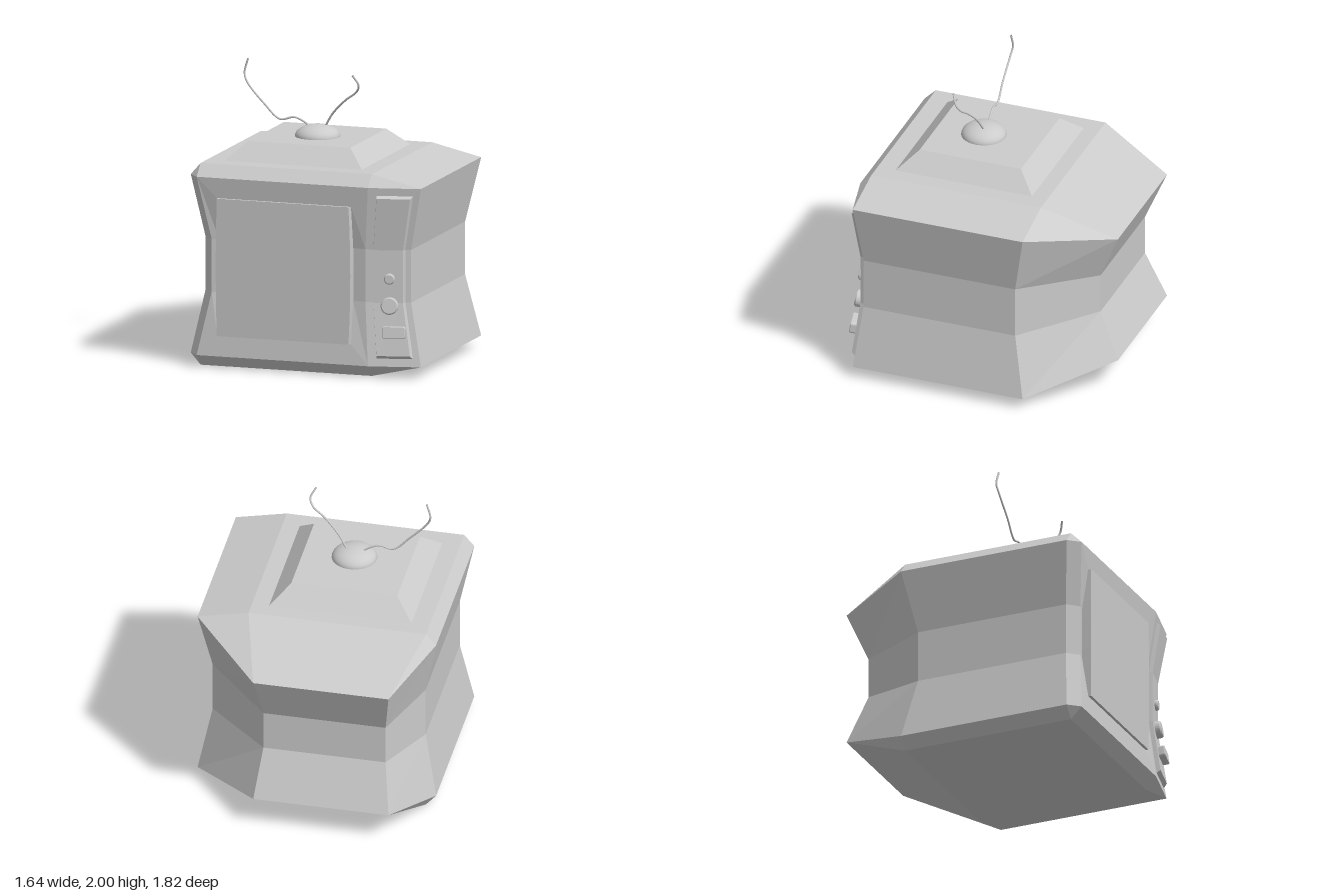
import * as THREE from 'three';

const material = new THREE.MeshStandardMaterial({ color: 0xcccccc });
const flat = new THREE.MeshStandardMaterial({ color: 0xcccccc, flatShading: true });
const v = (x, y, z) => new THREE.Vector3(x, y, z);

// Collects quads (corners counter-clockwise from outside) into a faceted geometry
function facets(quads) {
  const pos = [];
  const tri = (a, b, c) => {
    if (a.distanceTo(b) > 1e-6 && b.distanceTo(c) > 1e-6 && c.distanceTo(a) > 1e-6) {
      for (const p of [a, b, c]) pos.push(p.x, p.y, p.z);
    }
  };
  for (const [a, b, c, d] of quads) { tri(a, b, c); tri(a, c, d); }
  const g = new THREE.BufferGeometry();
  g.setAttribute('position', new THREE.Float32BufferAttribute(pos, 3));
  g.computeVertexNormals();
  return g;
}

// Cabinet plan outlines, from front right corner round to the other side
const WIDE = [[-0.75, 0.9], [0.47, 0.9], [0.82, 0.82], [0.82, -0.4], [0.33, -0.9], [-0.6, -0.9], [-0.82, -0.4], [-0.82, 0.82]];
const WAIST = [[-0.66, 0.85], [0.435, 0.85], [0.735, 0.775], [0.735, -0.315], [0.29, -0.76], [-0.55, -0.76], [-0.73, -0.315], [-0.73, 0.775]];
const CAP = [[-0.75, 0.82], [0.47, 0.82], [0.47, -0.4], [-0.75, -0.4]];
const CAP_OF = [0, 1, 1, 2, 2, 3, 3, 0];

// One ring; the two back corners have their own height
const ring = (plan, y, backY) => plan.map(([x, z], i) => v(x, i === 4 || i === 5 ? backY : y, z));
const capRing = (y) => CAP_OF.map((k) => v(CAP[k][0], y, CAP[k][1]));
const ROWS = [
  capRing(0), ring(WIDE, 0.08, 0.22), ring(WAIST, 0.51, 0.55),
  ring(WAIST, 0.87, 0.83), ring(WIDE, 1.3, 1.16), capRing(1.38),
];

function cabinetGeometry() {
  const quads = [];
  for (let r = 0; r < 5; r++) {
    for (let i = 0; i < 8; i++) {
      if (i === 0 && r > 0 && r < 4) continue; // front opening
      const j = (i + 1) % 8;
      quads.push([ROWS[r][i], ROWS[r][j], ROWS[r + 1][j], ROWS[r + 1][i]]);
    }
  }
  const corners = CAP.map(([x, z]) => v(x, 0, z));
  quads.push([...corners].reverse(), corners.map((p) => v(p.x, 1.38, p.z)));
  // bezel between the front rim and the screen
  const rim = [], inner = [];
  const heights = [0, 0.22, 0.51, 0.87, 1.16];
  const add = (r, side) => {
    rim.push(ROWS[r][side]);
    inner.push(v(side ? 0.345 : -0.61, heights[r], r === 1 || r === 4 ? 0.885 : 0.84));
  };
  add(1, 0);
  for (let r = 1; r <= 4; r++) add(r, 1);
  for (let r = 4; r >= 2; r--) add(r, 0);
  rim.forEach((p, i) => {
    const j = (i + 1) % rim.length;
    quads.push([p, rim[j], inner[j], inner[i]]);
  });
  return facets(quads);
}

// Point on the slanted control facet: u runs across it, y is height
function onFacet(u, y) {
  const r = y < 0.51 ? 1 : y < 0.87 ? 2 : 3;
  const a = ROWS[r], b = ROWS[r + 1];
  const t = (y - a[1].y) / (b[1].y - a[1].y);
  return a[1].clone().lerp(b[1], t).lerp(a[2].clone().lerp(b[2], t), u);
}
function facetNormal(y) {
  const across = onFacet(1, y).sub(onFacet(0, y));
  const up = onFacet(0.5, y + 0.01).sub(onFacet(0.5, y - 0.01));
  return across.cross(up).normalize();
}

// Raised control panel that follows the bent facet
function panelGeometry() {
  const out = v(0.22, 0, 0.97);
  const outline = (u0, u1, y0, y1, lift) => {
    const ys = [y0, 0.51, 0.87, y1];
    const at = (u, y) => onFacet(u, y).addScaledVector(out, lift);
    return { left: ys.map((y) => at(u0, y)), right: ys.map((y) => at(u1, y)) };
  };
  const base = outline(0.17, 0.88, 0.13, 1.25, -0.005);
  const top = outline(0.185, 0.83, 0.155, 1.23, 0.028);
  const quads = [];
  for (let i = 0; i < 3; i++) {
    quads.push([top.left[i], top.right[i], top.right[i + 1], top.left[i + 1]]);
    quads.push([base.left[i], top.left[i], top.left[i + 1], base.left[i + 1]]);
    quads.push([top.right[i], base.right[i], base.right[i + 1], top.right[i + 1]]);
  }
  quads.push([base.left[0], base.right[0], top.right[0], top.left[0]]);
  quads.push([top.left[3], top.right[3], base.right[3], base.left[3]]);
  return facets(quads);
}

// Slightly bowed screen plate
function screenGeometry() {
  const s = new THREE.Shape();
  s.moveTo(-0.605, 0.22);
  s.lineTo(0.333, 0.22);
  s.quadraticCurveTo(0.36, 0.69, 0.333, 1.16);
  s.lineTo(-0.605, 1.16);
  s.quadraticCurveTo(-0.62, 0.69, -0.605, 0.22);
  return new THREE.ExtrudeGeometry(s, { depth: 0.085, bevelEnabled: false, curveSegments: 8 }).translate(0, 0, 0.82);
}

// Rounded push button with a small bevel
function buttonGeometry(w, h, r) {
  const x = w / 2, y = h / 2, s = new THREE.Shape();
  s.absarc(x - r, y - r, r, 0, Math.PI / 2);
  s.absarc(r - x, y - r, r, Math.PI / 2, Math.PI);
  s.absarc(r - x, r - y, r, Math.PI, Math.PI * 1.5);
  s.absarc(x - r, r - y, r, Math.PI * 1.5, Math.PI * 2);
  return new THREE.ExtrudeGeometry(s, {
    depth: 0.05, bevelThickness: 0.006, bevelSize: 0.004, bevelSegments: 1, curveSegments: 4,
  });
}

// Round knob along +z with a chamfered rim
function knobGeometry(r, h) {
  const profile = [[0, 0], [r, 0], [r, h - 0.01], [r - 0.008, h], [0, h]].map(([x, y]) => new THREE.Vector2(x, y));
  return new THREE.LatheGeometry(profile, 24).rotateX(Math.PI / 2);
}

export function createModel() {
  const model = new THREE.Group();
  const add = (name, geometry, mat = flat) => {
    const mesh = new THREE.Mesh(geometry, mat);
    mesh.name = name;
    model.add(mesh);
    return mesh;
  };

  add('cabinet', cabinetGeometry());
  add('screen', screenGeometry());
  add('controlPanel', panelGeometry());

  // Controls, each facing straight out of the panel
  const controls = [
    ['smallKnob', knobGeometry(0.037, 0.035), 0.595, 0.675],
    ['largeKnob', knobGeometry(0.059, 0.055), 0.598, 0.487],
    ['button', buttonGeometry(0.15, 0.075, 0.014), 0.635, 0.31],
  ];
  for (const [name, geometry, x, y] of controls) {
    const a = onFacet(0, y), b = onFacet(1, y), n = facetNormal(y);
    const mesh = add(name, geometry);
    mesh.position.copy(onFacet((x - a.x) / (b.x - a.x), y)).addScaledVector(n, 0.015);
    mesh.lookAt(mesh.position.clone().add(n));
  }

  // Tapered plinth on top, with the aerial dome
  const plinth = new THREE.CylinderGeometry(0.364 * Math.SQRT2, 0.49 * Math.SQRT2, 0.12, 4).rotateY(Math.PI / 4);
  add('topPlinth', plinth).position.set(-0.137, 1.44, 0.2);
  const dome = add('aerialDome', new THREE.SphereGeometry(0.154, 32, 10, 0, Math.PI * 2, 0, Math.PI / 2), material);
  dome.scale.y = 0.53;
  dome.position.set(-0.122, 1.5, 0.235);

  // Bent wire aerials
  const aerials = {
    rightAerial: [[-0.17, 1.55, 0.225], [-0.22, 1.59, 0.227], [-0.29, 1.618, 0.232], [-0.39, 1.6, 0.237],
      [-0.5, 1.7, 0.243], [-0.625, 1.84, 0.235], [-0.646, 1.9, 0.225], [-0.62, 1.997, 0.23]],
    leftAerial: [[-0.08, 1.555, 0.215], [-0.01, 1.665, 0.24], [0.09, 1.765, 0.27], [0.175, 1.83, 0.29],
      [0.198, 1.88, 0.315], [0.165, 1.95, 0.345]],
  };
  for (const [name, points] of Object.entries(aerials)) {
    const curve = new THREE.CatmullRomCurve3(points.map((p) => v(...p)));
    add(name, new THREE.TubeGeometry(curve, 40, 0.007, 8), new THREE.MeshStandardMaterial({ color: 0xcccccc, side: THREE.DoubleSide }));
  }
  return model;
}
